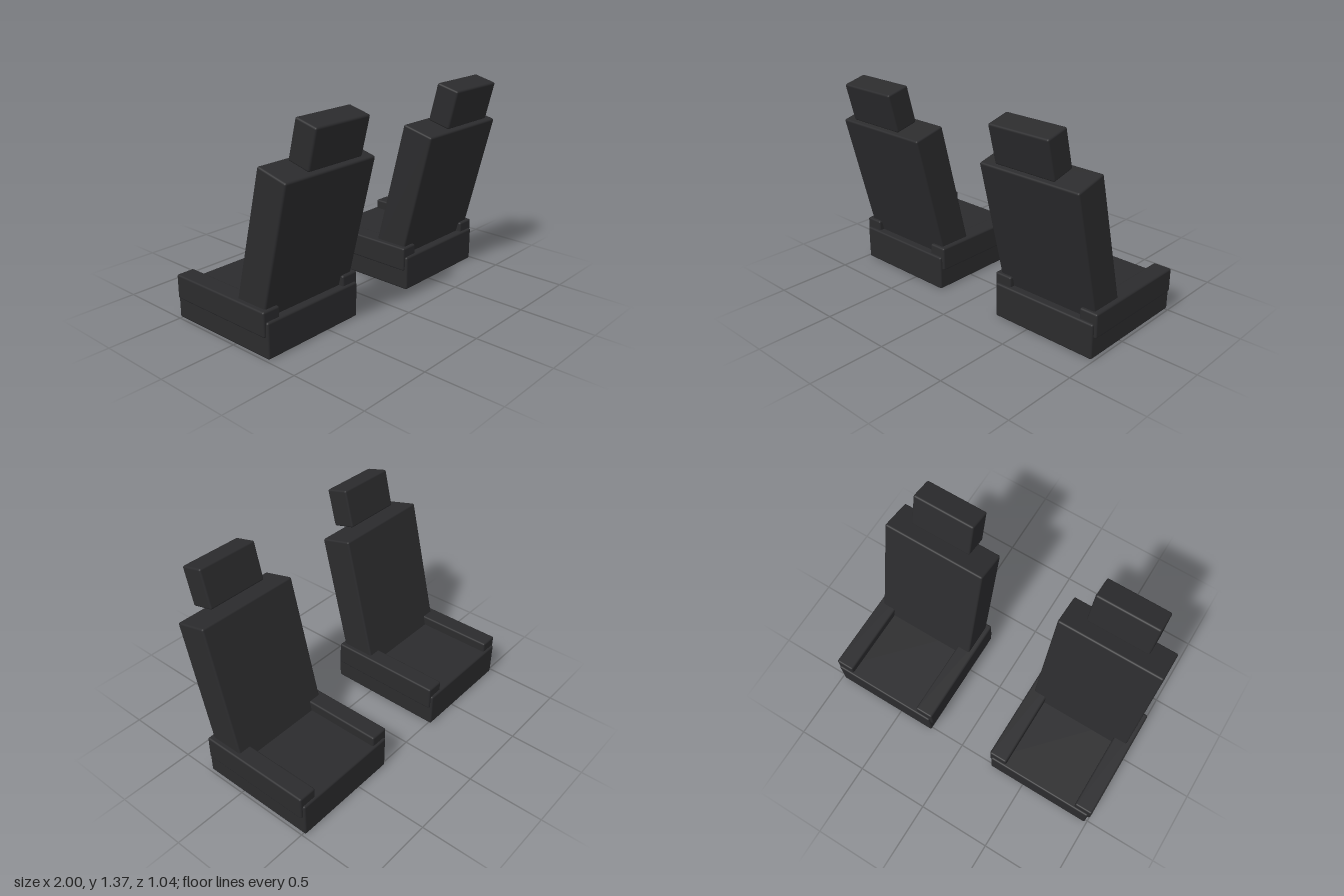
import * as THREE from 'three';
import { RoundedBoxGeometry } from 'three/addons/geometries/RoundedBoxGeometry.js';

const RECLINE = 0.243;
const BEVEL = 0.012;

export function createModel() {
  const model = new THREE.Group();
  model.name = 'seatPair';
  const upholstery = new THREE.MeshStandardMaterial({ color: 0x2b2b2d });

  // Softly bevelled cushion block
  function block(name, [w, h, d], [x, y, z], tilt = 0) {
    const mesh = new THREE.Mesh(new RoundedBoxGeometry(w, h, d, 2, BEVEL), upholstery);
    mesh.name = name;
    mesh.position.set(x, y, z);
    mesh.rotation.x = tilt;
    return mesh;
  }

  // One seat, with its cushion pointing towards -z
  function createSeat(name, x) {
    const seat = new THREE.Group();
    seat.name = name;
    seat.position.x = x;
    seat.add(block('seatCushion', [0.738, 0.228, 0.803], [0, 0.114, -0.116]));

    // Side bolsters along the cushion edges
    for (const side of [-1, 1]) {
      seat.add(block(side > 0 ? 'leftBolster' : 'rightBolster',
        [0.124, 0.158, 0.772], [side * 0.323, 0.214, -0.117]));
    }

    // Reclined backrest and headrest
    seat.add(block('backrest', [0.706, 0.93, 0.222], [0, 0.634, 0.219], RECLINE));
    seat.add(block('headrest', [0.42, 0.254, 0.158], [0, 1.231, 0.414], RECLINE));
    return seat;
  }

  model.add(createSeat('leftSeat', 0.615), createSeat('rightSeat', -0.615));
  return model;
}
